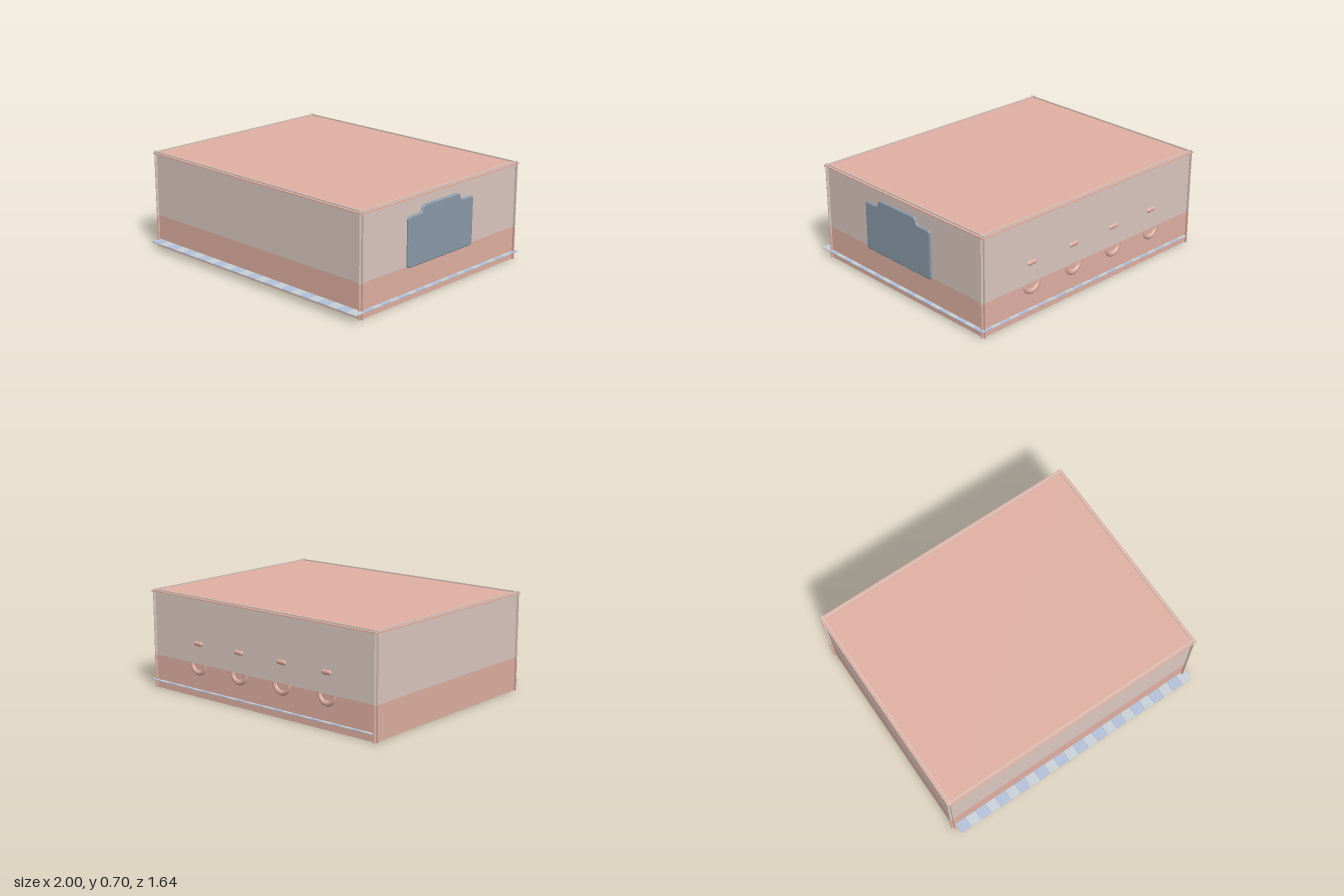
import * as THREE from 'three';
import { mergeGeometries } from 'three/addons/utils/BufferGeometryUtils.js';

const mat = (color) => new THREE.MeshStandardMaterial({ color });

export function createModel() {
  const model = new THREE.Group();
  const salmon = mat(0xe0b0a2), pale = mat(0xdcc8c0), slate = mat(0x8b99a9);
  const light = mat(0xc8d0d8), blue = mat(0xb2c0da);

  const add = (name, geometry, material, x = 0, y = 0, z = 0) => {
    const mesh = new THREE.Mesh(geometry, material);
    mesh.name = name;
    mesh.position.set(x, y, z);
    model.add(mesh);
    return mesh;
  };
  const box = (name, material, w, h, d, x, y, z) =>
    add(name, new THREE.BoxGeometry(w, h, d), material, x, y, z);

  // Room shell: thin slabs that cross near the corners
  const W = 1.985, D = 1.57, H = 0.7, seam = 0.235;
  const cx = -0.0075, cz = -0.0275, inset = 0.02, t = 0.008;
  const bands = [['lower', 0, seam, salmon], ['upper', seam, H, pale]];
  for (const [band, y0, y1, material] of bands) {
    const h = y1 - y0, y = (y0 + y1) / 2;
    for (const s of [-1, 1]) {
      box(band + (s > 0 ? 'FrontWall' : 'BackWall'), material, W, h, t,
        cx, y, cz + s * (D / 2 - inset));
      box(band + (s > 0 ? 'LeftWall' : 'RightWall'), material, t, h, D,
        cx + s * (W / 2 - inset), y, cz);
    }
  }
  box('ceiling', salmon, W, t, D, cx, H - 0.014, cz);

  // Chequered floor, reaching a little past the walls
  const pitch = 0.082, nx = 24, nz = 20, tiles = [[], []];
  for (let i = 0; i < nx; i++) {
    for (let j = 0; j < nz; j++) {
      const tile = new THREE.BoxGeometry(pitch - 0.002, 0.006, pitch - 0.002);
      tile.translate(0.016 + (i - (nx - 1) / 2) * pitch, 0.055, (j - (nz - 1) / 2) * pitch);
      tiles[(i + j) % 2].push(tile);
    }
  }
  add('lightFloorTiles', mergeGeometries(tiles[0]), light);
  add('blueFloorTiles', mergeGeometries(tiles[1]), blue);
  add('floorDrain', new THREE.CylinderGeometry(0.135, 0.135, 0.012, 32), salmon, 0.016, 0.055, 0);

  // Stepped door panel with rounded corners, set through the left wall
  const corners = [[-0.32, 0.225], [0.32, 0.225], [0.32, 0.565], [0.195, 0.565],
    [0.18, 0.613], [-0.18, 0.613], [-0.195, 0.565], [-0.32, 0.565]]
    .map(([x, y]) => new THREE.Vector2(x, y));
  const shape = new THREE.Shape();
  corners.forEach((p, i) => {
    const prev = corners[(i + 7) % 8], next = corners[(i + 1) % 8];
    const from = p.clone().add(prev.clone().sub(p).setLength(0.022));
    const to = p.clone().add(next.clone().sub(p).setLength(0.022));
    if (i === 0) shape.moveTo(from.x, from.y);
    else shape.lineTo(from.x, from.y);
    shape.quadraticCurveTo(p.x, p.y, to.x, to.y);
  });
  shape.closePath();
  const panel = new THREE.ExtrudeGeometry(shape, {
    depth: 0.02, bevelEnabled: true, bevelThickness: 0.008, bevelSize: 0.01,
    bevelOffset: -0.008, bevelSegments: 3, curveSegments: 6,
  });
  panel.rotateY(Math.PI / 2);
  add('doorPanel', panel, slate, 0.956, 0, 0);

  // Four basins with taps, whose backs show through the back wall
  for (let i = 0; i < 4; i++) {
    const x = 0.55 - i * 0.38;
    const tap = add('tap', new THREE.CapsuleGeometry(0.02, 0.05, 6, 16), salmon, x, 0.375, -0.786);
    tap.rotation.z = Math.PI / 2;
    const rim = add('basinRim', new THREE.TorusGeometry(0.062, 0.022, 12, 24, Math.PI),
      salmon, x, seam, -0.786);
    rim.rotation.z = Math.PI;
  }
  return model;
}
